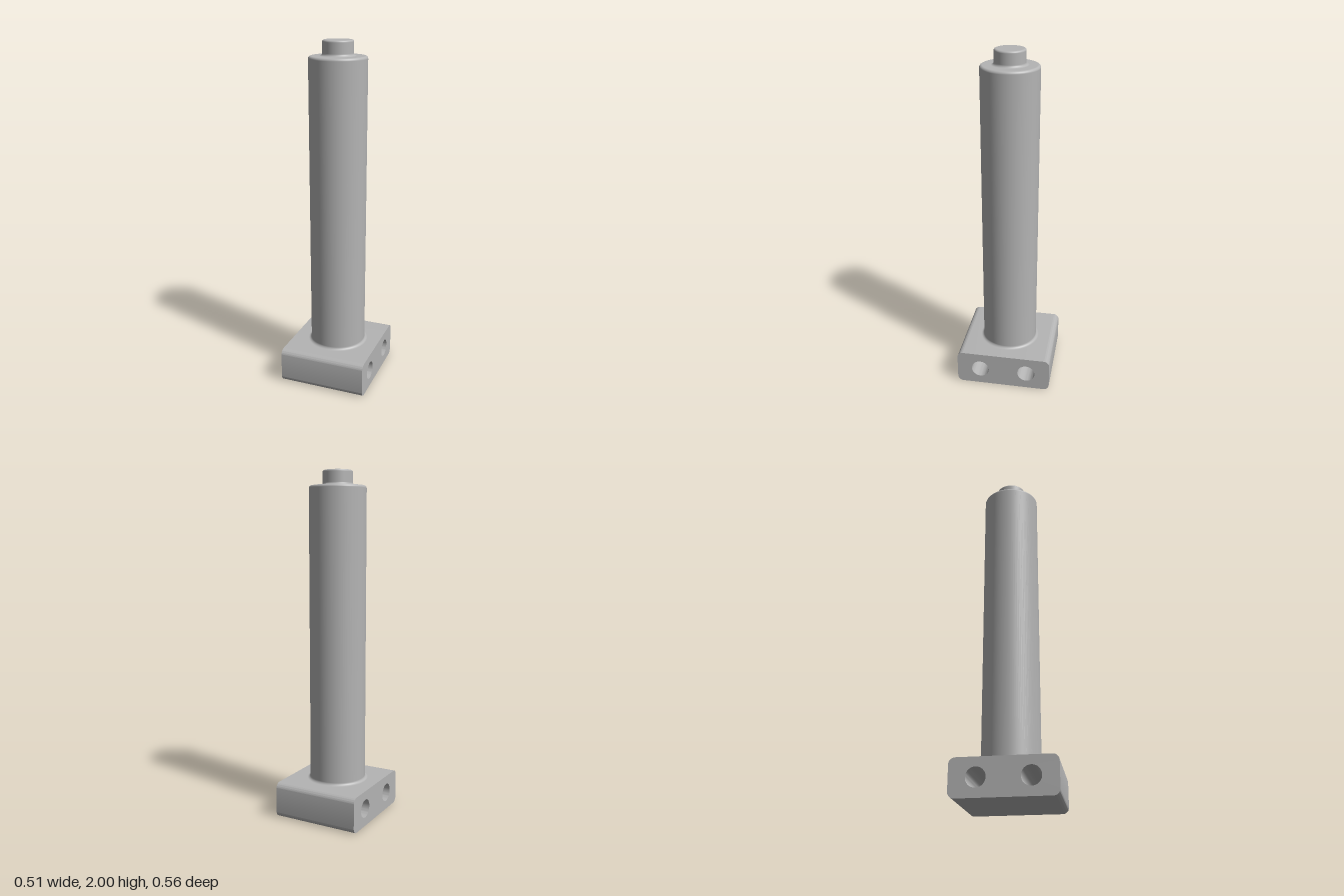
import * as THREE from 'three';
import { toCreasedNormals } from 'three/addons/utils/BufferGeometryUtils.js';

export function createModel() {
  const group = new THREE.Group();
  const grey = new THREE.MeshStandardMaterial({ color: 0xb4b4b4 });
  grey.name = 'plain grey';

  const width = 0.512, halfDepth = 0.282, height = 0.207, corner = 0.035;

  // Base block: rounded section with two cross holes, extruded along x
  const section = new THREE.Shape();
  const cx = halfDepth - corner, top = height - corner;
  section.absarc(cx, corner, corner, -Math.PI / 2, 0, false);
  section.absarc(cx, top, corner, 0, Math.PI / 2, false);
  section.absarc(-cx, top, corner, Math.PI / 2, Math.PI, false);
  section.absarc(-cx, corner, corner, Math.PI, Math.PI * 1.5, false);
  for (const side of [-1, 1]) {
    const hole = new THREE.Path();
    hole.absarc(side * 0.141, height / 2, 0.053, 0, Math.PI * 2, true);
    section.holes.push(hole);
  }
  const block = new THREE.ExtrudeGeometry(section, { depth: width, bevelEnabled: false, curveSegments: 20 });
  block.translate(0, 0, -width / 2).rotateY(Math.PI / 2);
  const base = new THREE.Mesh(toCreasedNormals(block, 0.6), grey);
  base.name = 'baseBlock';
  group.add(base);

  // Round part with a concave fillet at its foot and a rounded top edge
  function addRound(name, radius, bottom, topY, fillet, edge) {
    const points = [], steps = 8;
    for (let i = 0; i <= steps; i++) {
      const a = (i / steps) * Math.PI / 2;
      points.push(new THREE.Vector2(radius + fillet * (1 - Math.sin(a)), bottom + fillet * (1 - Math.cos(a))));
    }
    for (let i = 0; i <= steps; i++) {
      const a = (i / steps) * Math.PI / 2;
      points.push(new THREE.Vector2(radius - edge * (1 - Math.cos(a)), topY - edge * (1 - Math.sin(a))));
    }
    points.push(new THREE.Vector2(0, topY));
    const mesh = new THREE.Mesh(new THREE.LatheGeometry(points, 96), grey);
    mesh.name = name;
    group.add(mesh);
  }
  addRound('post', 0.163, height, 1.915, 0.017, 0.015);
  addRound('topPin', 0.086, 1.915, 2, 0.015, 0.011);

  return group;
}
